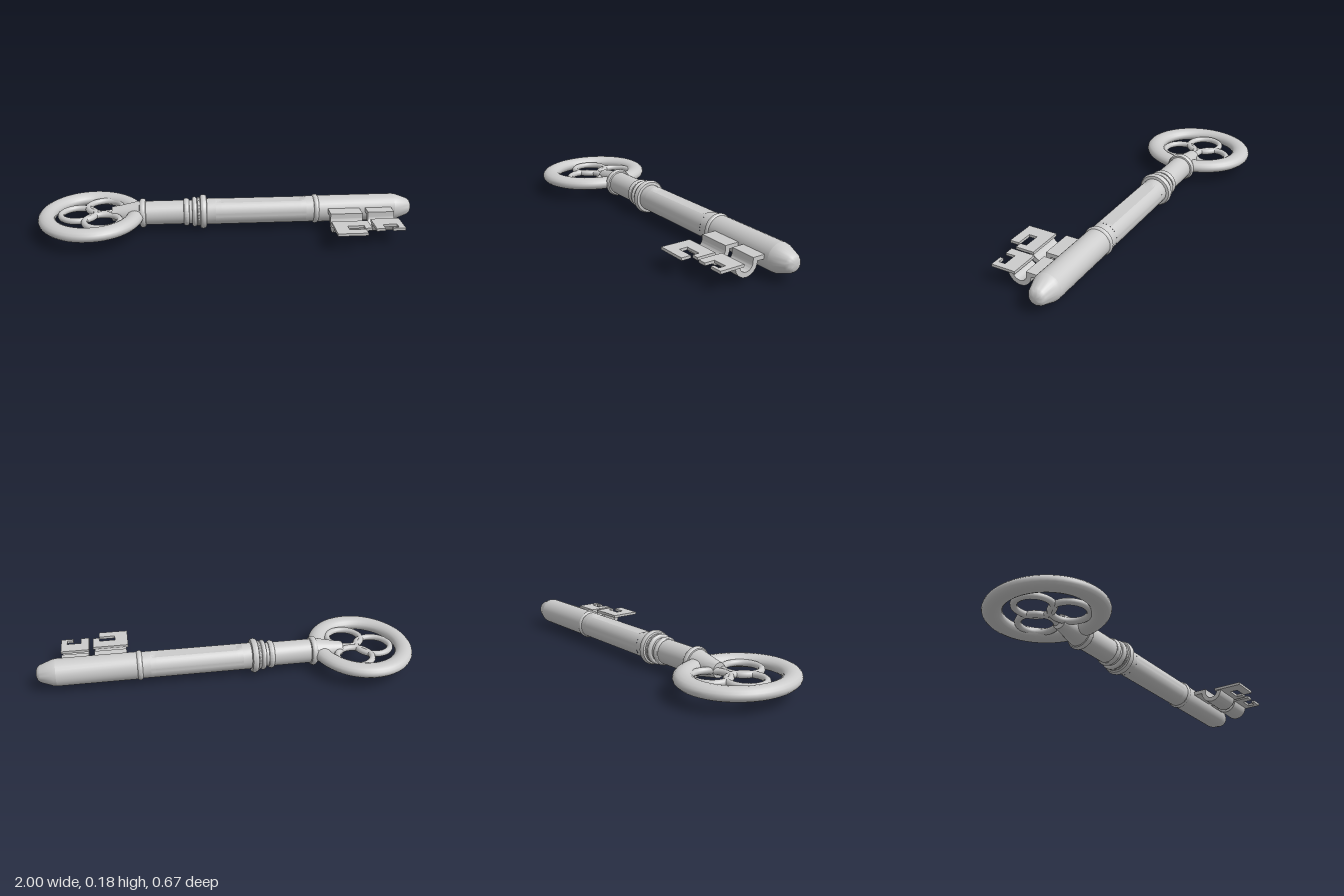
import * as THREE from 'three';
import { toCreasedNormals } from 'three/addons/utils/BufferGeometryUtils.js';

const AXIS_Y = 0.095, AXIS_Z = -0.035;
const material = new THREE.MeshStandardMaterial({ color: 0xcccccc });

export function createModel() {
  const group = new THREE.Group();

  const add = (name, geometry, x = 0, y = 0, z = 0) => {
    const mesh = new THREE.Mesh(geometry, material);
    mesh.name = name;
    mesh.position.set(x, y, z);
    group.add(mesh);
    return mesh;
  };

  // Turned part along x, from [x, radius] pairs
  const turned = (points, segments = 28) =>
    new THREE.LatheGeometry(points.map(([x, r]) => new THREE.Vector2(r, x)), segments).rotateZ(-Math.PI / 2);
  const addTurned = (name, points) => add(name, toCreasedNormals(turned(points), 0.5), 0, AXIS_Y, AXIS_Z);

  // Rounded collar around the shaft
  const collar = (name, x, radius, width) => {
    const points = [[x - width / 2, 0.05]];
    for (let i = 0; i <= 6; i++) {
      const a = (i / 6) * Math.PI;
      points.push([x - Math.cos(a) * width / 2, radius - 0.014 + Math.sin(a) * 0.014]);
    }
    points.push([x + width / 2, 0.05]);
    addTurned(name, points);
  };

  // Bow: oval ring with a flattened section
  const bow = new THREE.TorusGeometry(0.2475, 0.048, 16, 56).rotateX(Math.PI / 2).scale(0.94, 0.71, 1.06);
  add('bowRing', bow, -0.722, AXIS_Y, -0.021);

  // Three overlapping rings inside the bow
  [[-0.793, -0.035], [-0.66, -0.133], [-0.66, 0.068]].forEach(([x, z], i) =>
    add(`trefoilRing${i + 1}`, new THREE.TorusGeometry(0.092, 0.017, 10, 36).rotateX(Math.PI / 2), x, AXIS_Y, z));

  // Shaft
  addTurned('bowSocket', [[-0.615, 0], [-0.615, 0.038], [-0.56, 0.047], [-0.46, 0.068], [-0.46, 0]]);
  addTurned('neck', [[-0.46, 0], [-0.46, 0.064], [-0.1, 0.064], [-0.1, 0]]);
  addTurned('shaftStart', [[-0.12, 0], [-0.12, 0.07], [-0.065, 0.07]]);
  addTurned('shaftEnd', [[0.42, 0.07], [0.49, 0.07], [0.49, 0]]);
  addTurned('barrel', [[0.48, 0], [0.48, 0.072], [0.9, 0.072]]);
  addTurned('tip', [[0.9, 0.072], [0.915, 0.07], [0.98, 0.046], [0.993, 0.036], [1, 0.022], [1, 0]]);

  // Middle of the shaft, cut flat along the top with sloping ends
  const middle = turned([[-0.065, 0.07], [-0.035, 0.07], [0.39, 0.07], [0.42, 0.07]], 48);
  const p = middle.attributes.position;
  for (let i = 0; i < p.count; i++) {
    if (p.getX(i) > -0.05 && p.getX(i) < 0.4) p.setY(i, Math.min(p.getY(i), 0.06));
  }
  middle.computeVertexNormals();
  add('flattenedShaft', toCreasedNormals(middle, 0.3), 0, AXIS_Y, AXIS_Z);

  // Collars
  collar('bowCollar', -0.452, 0.079, 0.034);
  collar('neckCollar', -0.22, 0.075, 0.032);
  collar('smallCollar', -0.177, 0.081, 0.026);
  collar('secondCollar', -0.155, 0.078, 0.024);
  collar('largeCollar', -0.13, 0.092, 0.036);
  collar('barrelCollar', 0.475, 0.079, 0.03);

  // Bits: a curved arm extruded along x, ending in a notched plate
  const arm = (name, x0, x1, z) => {
    const y = 0.097;
    const s = new THREE.Shape();
    s.moveTo(0.02, 0.095);
    s.lineTo(0.02, 0.118);
    s.lineTo(z - 0.0375, 0.118);
    s.lineTo(z - 0.0375, y);
    s.absarc(z, y, 0.0375, Math.PI, Math.PI * 2, false);
    s.lineTo(z + 0.0625, y);
    s.absarc(z, y, 0.0625, Math.PI * 2, Math.PI, true);
    const g = new THREE.ExtrudeGeometry(s, { depth: x1 - x0, bevelEnabled: false, curveSegments: 14 });
    add(name, toCreasedNormals(g.rotateY(-Math.PI / 2), 0.5), x1);
  };
  const plate = (name, outline) => {
    const s = new THREE.Shape(outline.map(([x, z]) => new THREE.Vector2(x, z)));
    const g = new THREE.ExtrudeGeometry(s, { depth: 0.014, bevelEnabled: false });
    add(name, g.rotateX(Math.PI / 2), 0, 0.104);
  };

  arm('innerBitArm', 0.535, 0.705, 0.147);
  plate('innerBitPlate', [[0.525, 0.175], [0.715, 0.175], [0.715, 0.275], [0.68, 0.275], [0.68, 0.24],
    [0.595, 0.24], [0.595, 0.285], [0.68, 0.285], [0.68, 0.335], [0.525, 0.335]]);
  arm('outerBitArm', 0.737, 0.877, 0.135);
  plate('outerBitPlate', [[0.735, 0.155], [0.885, 0.155], [0.885, 0.285], [0.82, 0.285], [0.82, 0.268],
    [0.853, 0.268], [0.853, 0.232], [0.78, 0.232], [0.78, 0.285], [0.735, 0.285]]);

  return group;
}
